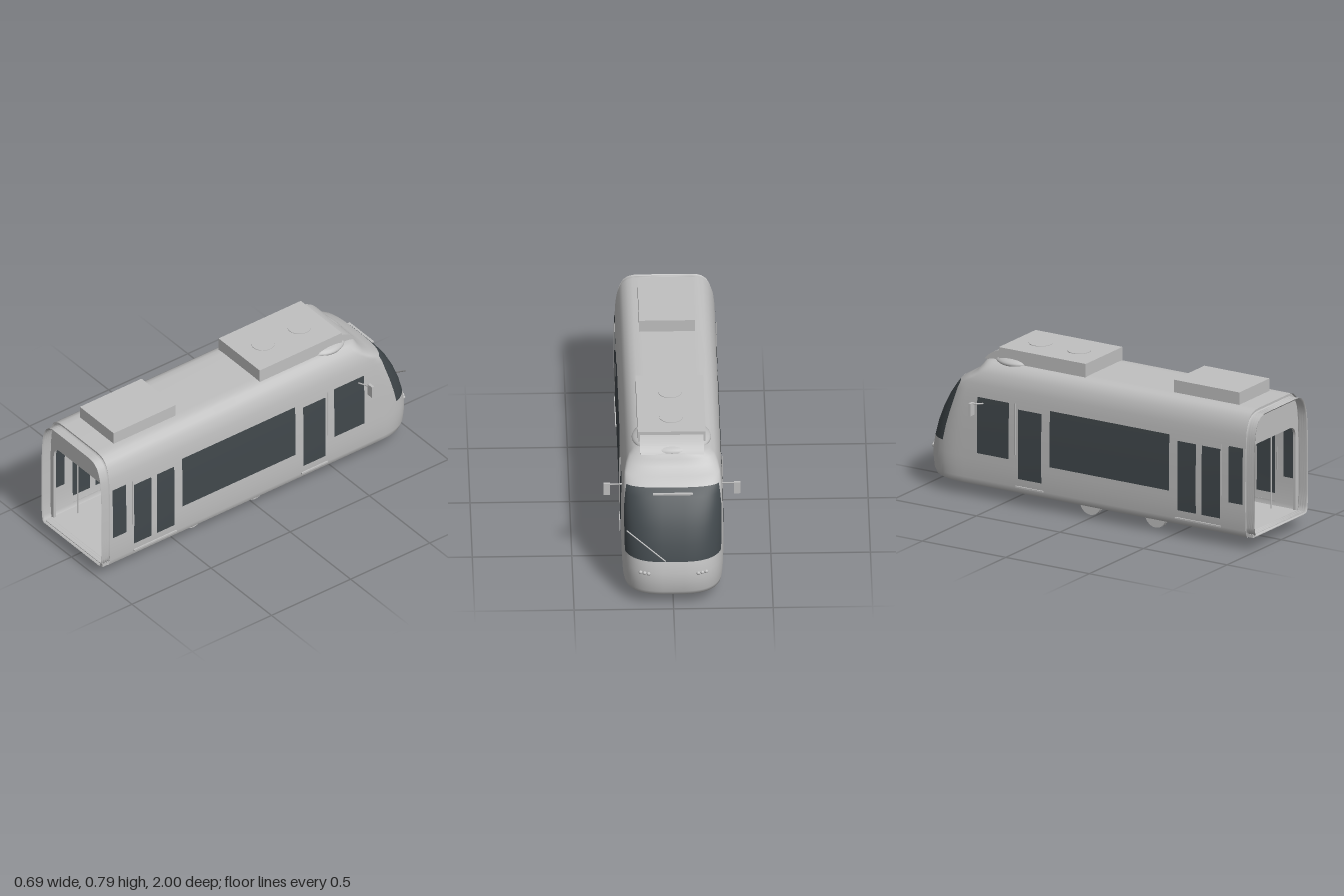
import * as THREE from 'three';

const mat = (name, color, side = THREE.FrontSide) => {
  const m = new THREE.MeshStandardMaterial({ color, side });
  m.name = name;
  return m;
};

// Body levels: y, half width, nose tip z, start of nose curve z, windscreen edge z
const LEVELS = [
  [.065, .235, -.955, -.74, -.87], [.075, .245, -.98, -.74, -.87], [.1, .25, -.994, -.74, -.87],
  [.16, .254, -1, -.74, -.87], [.21, .255, -.998, -.74, -.87], [.27, .255, -.985, -.74, -.87],
  [.35, .255, -.96, -.74, -.85], [.43, .254, -.925, -.735, -.825], [.5, .252, -.885, -.73, -.80],
  [.56, .249, -.84, -.725, -.782], [.6, .245, -.805, -.72, -.765], [.63, .24, -.75, -.675, -.71],
  [.66, .23, -.705, -.635, -.67], [.69, .215, -.685, -.61, -.645], [.71, .19, -.675, -.59, -.635],
  [.718, .165, -.665, -.58, -.625], [.72, .13, -.65, -.57, -.61],
];
const SIDE = 6, FRONT = 12;

// Interpolate any column of the level table at height y
function level(y, col) {
  let i = 0;
  while (i < LEVELS.length - 2 && LEVELS[i + 1][0] < y) i++;
  const a = LEVELS[i], b = LEVELS[i + 1];
  return a[col] + (b[col] - a[col]) * (y - a[0]) / (b[0] - a[0]);
}
function noseZ(x, y) {
  const z0 = level(y, 3), f = Math.abs(x) / level(y, 1);
  return z0 - (z0 - level(y, 2)) * Math.cbrt(1 - f ** 3);
}

// Surface through rings of equal point count; pick(i, j) chooses the material slot
function loft(rings, closed, pick = () => 0, extra = []) {
  const n = rings[0].length, slots = [[...extra], []];
  for (let i = 0; i < rings.length - 1; i++)
    for (let j = 0; j < (closed ? n : n - 1); j++) {
      const a = i * n + j, b = i * n + (j + 1) % n;
      slots[pick(i, j)].push(a, b, b + n, a, b + n, a + n);
    }
  const g = new THREE.BufferGeometry();
  g.setAttribute('position', new THREE.Float32BufferAttribute(rings.flat(2), 3));
  g.setIndex(slots.flat());
  g.addGroup(0, slots[0].length, 0);
  g.addGroup(slots[0].length, slots[1].length, 1);
  g.computeVertexNormals();
  return g;
}

// Horizontal outline of the body, from +x rear around the nose to -x rear
function outline([y, w, zf, z0, ze]) {
  const te = Math.asin(((z0 - ze) / (z0 - zf)) ** 1.5), half = [[w, y, .95], [w, y, .2]];
  for (let k = 0; k <= SIDE + FRONT; k++) {
    const t = k <= SIDE ? te * k / SIDE : te + (Math.PI / 2 - te) * (k - SIDE) / FRONT;
    half.push([w * Math.max(0, Math.cos(t)) ** (2 / 3), y, z0 - (z0 - zf) * Math.sin(t) ** (2 / 3)]);
  }
  return [...half, ...half.slice(0, -1).reverse().map(([x, yy, z]) => [-x, yy, z])];
}

// Closed upright section of the body, scaled about its middle
function section(sx, sy) {
  const right = LEVELS.map(([y, w]) => [w * sx, .395 + (y - .395) * sy]);
  return [...right, ...right.slice().reverse().map(([x, y]) => [-x, y])];
}

export function createModel() {
  const root = new THREE.Group();
  root.name = 'tramCar';
  const paint = mat('paleGrey', 0xc0c0c0);
  const shell = mat('paleGreyShell', 0xc0c0c0, THREE.DoubleSide);
  const glass = mat('darkGlass', 0x41484c, THREE.DoubleSide);

  const add = (name, geo, m = paint, x = 0, y = 0, z = 0) => {
    const o = new THREE.Mesh(geo, m);
    o.name = name;
    o.position.set(x, y, z);
    root.add(o);
    return o;
  };
  const box = (name, x0, x1, y0, y1, z0, z1, m = paint) =>
    add(name, new THREE.BoxGeometry(x1 - x0, y1 - y0, z1 - z0), m, (x0 + x1) / 2, (y0 + y1) / 2, (z0 + z1) / 2);
  const rod = (name, a, b, r, m = paint) => {
    const curve = new THREE.LineCurve3(new THREE.Vector3(...a), new THREE.Vector3(...b));
    return add(name, new THREE.TubeGeometry(curve, 1, r, 8), m);
  };
  const disc = (name, r, len, x, y, z, seg = 28) => {
    const o = add(name, new THREE.CylinderGeometry(r, r, len, seg), paint, x, y, z);
    o.rotation.z = Math.PI / 2;
    return o;
  };

  // Body shell with roof, windscreen and underside
  const rings = LEVELS.map(outline), n = rings[0].length, base = (rings.length - 1) * n;
  const roof = [], under = [];
  for (let j = 0; j < (n - 1) / 2; j++) {
    const k = n - 1 - j;
    roof.push(base + j, base + j + 1, base + k - 1, base + j, base + k - 1, base + k);
    under.push(j, k - 1, j + 1, j, k, k - 1);
  }
  const screen = (i, j) => +(LEVELS[i][0] >= .27 && LEVELS[i][0] < .6 && j >= 2 + SIDE && j < n - 3 - SIDE);
  add('bodyShell', loft(rings, false, screen, roof), [shell, glass]);
  const bottom = new THREE.BufferGeometry();
  bottom.setAttribute('position', new THREE.Float32BufferAttribute(rings[0].flat(), 3));
  bottom.setIndex(under);
  bottom.computeVertexNormals();
  add('underside', bottom, shell);

  // Ribbed gangway bellows at the open end
  const ribs = [];
  for (let i = 0; i <= 8; i++) {
    const s = i % 2 ? .95 : .975;
    ribs.push(section(s, s - .02).map(([x, y]) => [x, y, .945 + i * .055 / 8]));
  }
  add('gangwayBellows', loft(ribs, true), shell);

  // End wall with a rounded doorway
  const wall = new THREE.Shape(section(.99, .99).map(p => new THREE.Vector2(...p)));
  const door = new THREE.Path();
  door.moveTo(-.225, .085).lineTo(.225, .085).lineTo(.225, .47).quadraticCurveTo(.225, .53, .17, .53)
    .lineTo(-.17, .53).quadraticCurveTo(-.225, .53, -.225, .47).lineTo(-.225, .085);
  wall.holes.push(door);
  add('endWall', new THREE.ExtrudeGeometry(wall, { depth: .015, bevelEnabled: false }), paint, 0, 0, .925);

  // Cab bulkhead and cabin floor
  add('cabBulkhead', new THREE.ShapeGeometry(new THREE.Shape(section(.96, .98).map(p => new THREE.Vector2(...p)))), shell, 0, 0, -.57);
  box('bulkheadWindow', -.175, -.065, .36, .435, -.569, -.563, glass);
  box('floor', -.235, .235, .068, .085, -.57, .985);
  box('displayCase', -.067, .067, .466, .516, .5, .52);
  box('displayScreen', -.06, .06, .471, .513, .52, .524, glass);

  // Side windows and door glass follow the curve of the wall
  const panes = [[.85, .935, .24, .535], [.69, .80, .145, .51], [.545, .655, .145, .51],
    [-.22, .495, .24, .535], [-.41, -.27, .145, .51], [-.655, -.465, .24, .535]];
  for (const s of [1, -1]) {
    for (const [z0, z1, y0, y1] of panes)
      for (const off of [.0025, -.0025]) {
        const rows = [];
        for (let i = 0; i <= 6; i++) {
          const y = y0 + (y1 - y0) * i / 6, x = s * (level(y, 1) + off);
          rows.push([[x, y, s > 0 ? z1 : z0], [x, y, s > 0 ? z0 : z1]]);
        }
        add('sideWindow', loft(rows, false), glass);
      }
    // Door sills and grab bars
    for (const [z0, z1, bar] of [[.53, .8, .81], [-.425, -.26, -.425]]) {
      box('doorSill', s * .254 - .004, s * .254 + .004, .098, .106, z0, z1);
      rod('doorBar', [s * .257, .27, bar], [s * .257, .54, bar], .003);
    }
    // Wing mirrors
    rod('mirrorArm', [s * .25, .505, -.62], [s * .325, .517, -.64], .004);
    box('mirror', s * .328 - .017, s * .328 + .017, .46, .525, -.65, -.635);
    // Headlamps
    for (const x of [.125, .145, .165])
      add('headlamp', new THREE.SphereGeometry(.01, 12, 8), paint, s * x, .205, noseZ(x, .205));

    // Running gear
    for (const z of [.36, -.03]) {
      disc('wheel', .062, .018, s * .165, .062, z);
      disc('wheelFlange', .066, .006, s * .153, .066, z);
      disc('wheelHub', .025, .03, s * .167, .062, z);
    }
    for (const z of [.265, .07]) disc('brakeDisc', .028, .01, s * .103, .056, z, 20);

    // Seats over the wheel housings, and grab poles
    for (const z of [.36, -.03]) {
      box('wheelHousing', s * .135 - .095, s * .135 + .095, .085, .135, z - .09, z + .09);
      for (const x of [.092, .187]) {
        box('seatCushion', s * x - .045, s * x + .045, .19, .22, z - .06, z + .06);
        box('seatBack', s * x - .045, s * x + .045, .205, .36, z - .075, z - .06);
        box('seatLeg', s * x - .015, s * x + .015, .13, .19, z - .03, z + .03);
      }
    }
    rod('grabPole', [s * .185, .085, .82], [s * .185, .525, .82], .004);
    rod('grabPole', [s * .225, .085, .52], [s * .225, .525, .52], .004);
  }
  rod('grabPole', [0, .085, .67], [0, .53, .67], .004);
  for (const z of [.36, -.03]) rod('axle', [-.16, .062, z], [.16, .062, z], .01);
  for (const z of [.225, .105]) disc('motor', .02, .15, -.015, .06, z, 20);

  // Roof equipment
  box('rearRoofUnit', -.14, .14, .71, .785, .45, .84);
  box('frontRoofUnit', -.17, .17, .71, .788, -.58, -.06);
  for (const z of [-.44, -.21]) add('roofFan', new THREE.CylinderGeometry(.06, .06, .004, 32), paint, 0, .789, z);
  const fairing = add('roofFairing', new THREE.SphereGeometry(1, 40, 20), paint, 0, .715, -.51);
  fairing.scale.set(.2, .045, .16);
  const ramp = new THREE.Shape();
  ramp.moveTo(.57, .71).lineTo(.57, .772).quadraticCurveTo(.64, .755, .672, .71);
  const rampMesh = add('fairingRamp', new THREE.ExtrudeGeometry(ramp, { depth: .32, bevelEnabled: false }), paint, -.16, 0, 0);
  rampMesh.rotation.y = Math.PI / 2;

  // Windscreen trim and wiper
  box('screenVisor', -.1, .1, .572, .58, -.835, -.82);
  rod('wiperArm', [.04, .275, -.985], [.235, .43, -.935], .0035);
  return root;
}
